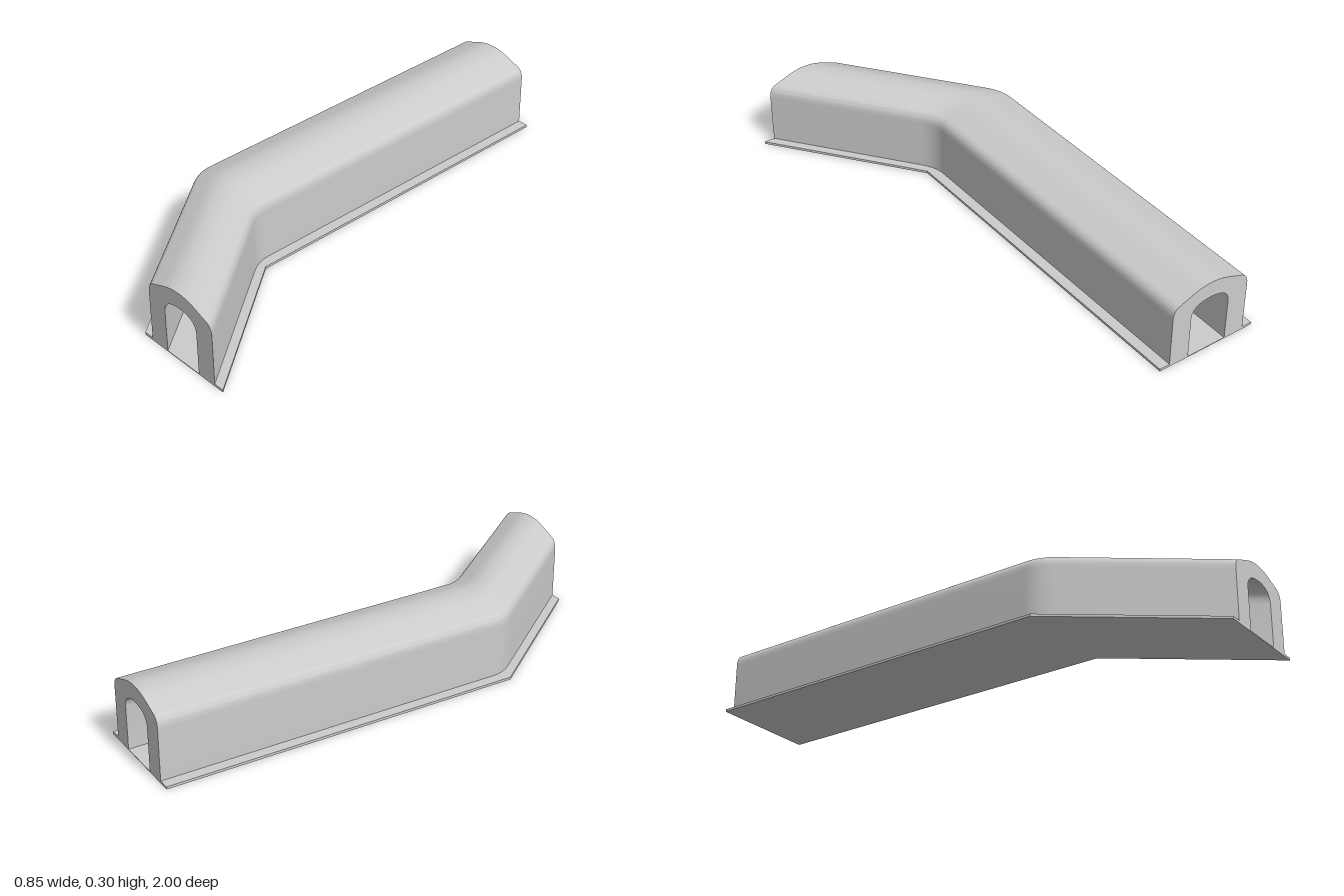
import * as THREE from 'three';
import { toCreasedNormals } from 'three/addons/utils/BufferGeometryUtils.js';

const START_X = -0.213, KNEE_Z = 0.44, SLOPE = 0.426 / (1 - KNEE_Z);

// Sideways position of the passage at z, with a knee rounded over +-r
function pathX(z, r) {
  const d = z - KNEE_Z;
  if (d <= -r) return START_X;
  if (d >= r) return START_X + SLOPE * d;
  return START_X + SLOPE * (d + r) ** 2 / (4 * r);
}

// Extrude a section, then slide each slice to its station on the path
function sweep(name, shape, stations, r, material) {
  const steps = stations.length - 1;
  const geometry = new THREE.ExtrudeGeometry(shape, { depth: 1, steps, bevelEnabled: false, curveSegments: 12 });
  const p = geometry.attributes.position;
  for (let i = 0; i < p.count; i++) {
    const z = stations[Math.round(p.getZ(i) * steps)];
    p.setX(i, p.getX(i) + pathX(z, r));
    p.setZ(i, z);
  }
  const mesh = new THREE.Mesh(toCreasedNormals(geometry, 0.6), material);
  mesh.name = name;
  return mesh;
}

export function createModel() {
  const group = new THREE.Group();
  group.name = 'bentTunnel';
  const material = new THREE.MeshStandardMaterial({ color: 0xcccccc });

  // Arched shell: outer vault with rounded shoulders, inner archway
  const arch = new THREE.Shape();
  arch.moveTo(0.085, 0.01);
  arch.lineTo(0.17, 0.01);
  arch.lineTo(0.17, 0.215);
  arch.quadraticCurveTo(0.17, 0.253, 0.14, 0.263);
  arch.bezierCurveTo(0.07, 0.289, 0.05, 0.3, 0, 0.3);
  arch.bezierCurveTo(-0.05, 0.3, -0.07, 0.289, -0.14, 0.263);
  arch.quadraticCurveTo(-0.17, 0.253, -0.17, 0.215);
  arch.lineTo(-0.17, 0.01);
  arch.lineTo(-0.085, 0.01);
  arch.lineTo(-0.085, 0.175);
  arch.bezierCurveTo(-0.085, 0.22, -0.045, 0.235, 0, 0.235);
  arch.bezierCurveTo(0.045, 0.235, 0.085, 0.22, 0.085, 0.175);
  arch.closePath();
  const bend = [];
  for (let i = 0; i <= 8; i++) bend.push(KNEE_Z - 0.05 + i * 0.0125);
  group.add(sweep('archedShell', arch, [-1, ...bend, 1], 0.05, material));

  // Base plate with side flanges and a slightly sunken walkway
  const plate = new THREE.Shape([
    [-0.213, 0], [0.213, 0], [0.213, 0.01], [0.085, 0.01],
    [0.085, 0.003], [-0.085, 0.003], [-0.085, 0.01], [-0.213, 0.01],
  ].map(([x, y]) => new THREE.Vector2(x, y)));
  group.add(sweep('basePlate', plate, [-1, KNEE_Z, 1], 0, material));

  return group;
}
